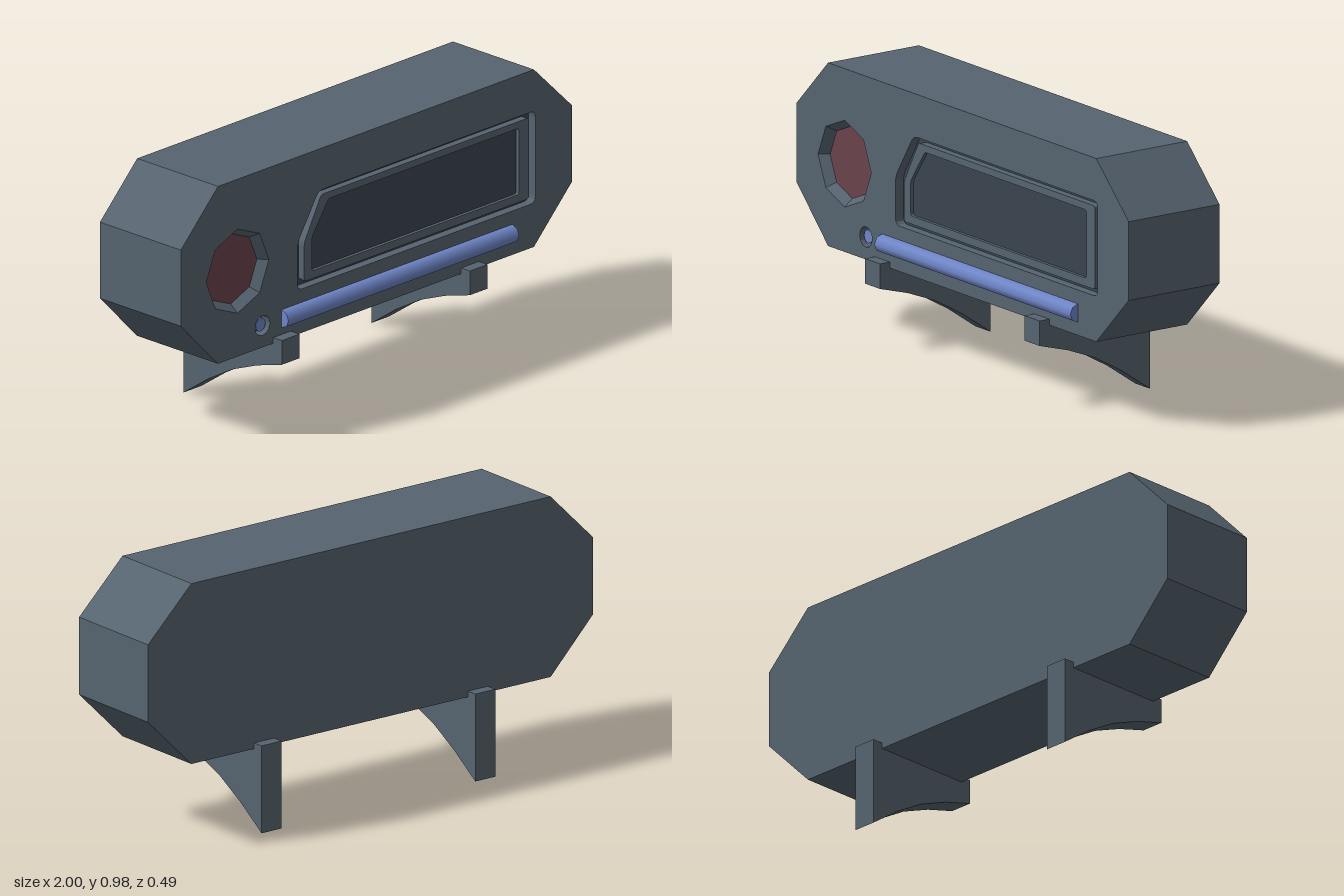
import * as THREE from 'three';

const material = (color, extra = {}) => Object.assign(new THREE.MeshStandardMaterial({ color }), extra);

// Closed polygon with slightly rounded corners
function roundedOutline(points, r, Type = THREE.Shape) {
  const shape = new Type();
  const v = points.map(([x, y]) => new THREE.Vector2(x, y));
  v.forEach((p, i) => {
    const prev = v[(i + v.length - 1) % v.length], next = v[(i + 1) % v.length];
    const a = p.clone().add(prev.clone().sub(p).setLength(r));
    const b = p.clone().add(next.clone().sub(p).setLength(r));
    if (i === 0) shape.moveTo(a.x, a.y); else shape.lineTo(a.x, a.y);
    shape.quadraticCurveTo(p.x, p.y, b.x, b.y);
  });
  shape.closePath();
  return shape;
}

// Rectangle with its upper-left corner cut off
const windowPoints = (l, r, b, t, cutY, cutX) => [[l, b], [r, b], [r, t], [cutX, t], [l, cutY]];

const polygon = (points) => new THREE.Shape(points.map(([x, y]) => new THREE.Vector2(x, y)));

// Regular polygon used for the round openings
function ringPoints(cx, cy, r, n) {
  return Array.from({ length: n }, (_, i) => {
    const a = (i / n) * Math.PI * 2;
    return new THREE.Vector2(cx + r * Math.cos(a), cy + r * Math.sin(a));
  });
}

function extrude(shape, z0, z1) {
  const g = new THREE.ExtrudeGeometry(shape, { depth: z1 - z0, bevelEnabled: false, curveSegments: 3 });
  return g.translate(0, 0, z0);
}

export function createModel() {
  const group = new THREE.Group();
  const slate = material(0x566470, { flatShading: true });
  const slateThin = material(0x566470, { flatShading: true, side: THREE.DoubleSide });
  const dark = material(0x3a454e, { flatShading: true });
  const red = material(0x6a434c, { flatShading: true });
  const blue = material(0x6f86c8);
  const add = (name, geometry, mat) => {
    const mesh = new THREE.Mesh(geometry, mat);
    mesh.name = name;
    group.add(mesh);
    return mesh;
  };

  const FRONT = 0.2, FLOOR = 0.16;
  const lens = { x: -0.71, y: 0.63, r: 0.16 };
  const button = { x: -0.582, y: 0.388, r: 0.038 };
  const body = [[-0.81, 0.305], [0.805, 0.305], [1, 0.5], [1, 0.79], [0.805, 0.98], [-0.81, 0.98], [-1, 0.79], [-1, 0.5]];
  const openingPoints = windowPoints(-0.404, 0.813, 0.472, 0.822, 0.65, -0.295);
  const rimPoints = windowPoints(-0.362, 0.787, 0.492, 0.8, 0.64, -0.275);
  const screenPoints = windowPoints(-0.322, 0.735, 0.522, 0.774, 0.65, -0.237);

  // Chamfered housing and its front plate with openings
  add('housing', extrude(polygon(body), -0.2, FLOOR), slate);
  const plate = polygon(body);
  plate.holes.push(
    roundedOutline(openingPoints, 0.025, THREE.Path),
    new THREE.Path(ringPoints(lens.x, lens.y, lens.r, 8)),
    new THREE.Path(ringPoints(button.x, button.y, button.r, 12)),
  );
  add('frontPlate', extrude(plate, FLOOR, FRONT), slate);

  // Display: dark groove, raised rim and sunken screen
  add('displayGroove', extrude(roundedOutline(openingPoints, 0.025), FLOOR - 0.01, FLOOR + 0.005), dark);
  const rim = roundedOutline(rimPoints, 0.012);
  rim.holes.push(roundedOutline(screenPoints, 0.01, THREE.Path));
  add('displayRim', extrude(rim, FLOOR, 0.193), slate);
  add('screen', extrude(roundedOutline(screenPoints, 0.01), FLOOR, 0.18), dark);

  // Octagonal lens sunk in a sloped collar
  const collar = new THREE.CylinderGeometry(lens.r, 0.133, 0.035, 8, 1, true).rotateX(Math.PI / 2);
  add('lensCollar', collar, slateThin).position.set(lens.x, lens.y, FRONT - 0.0175);
  const lensDisc = new THREE.CylinderGeometry(0.134, 0.134, 0.006, 8).rotateX(Math.PI / 2);
  add('lens', lensDisc, red).position.set(lens.x, lens.y, FRONT - 0.037);

  // Small round button in its well
  const cap = new THREE.CylinderGeometry(0.025, 0.025, 0.03, 12).rotateX(Math.PI / 2);
  add('button', cap, blue).position.set(button.x, button.y, FLOOR + 0.015);

  // Long light bar half sunk into the front
  const bar = new THREE.CylinderGeometry(0.034, 0.034, 1.18, 8).rotateZ(Math.PI / 2);
  add('lightBar', bar, blue).position.set(0.105, 0.387, FRONT);

  // Two bracket feet with a curved underside; profile is drawn as (-z, y)
  const profile = [[-0.243, 0.327], [-0.243, 0.235], [-0.12, 0.2], [0, 0.153], [0.12, 0.085], [0.243, 0], [0.243, 0.327]];
  for (const [name, x] of [['rightFoot', -0.483], ['leftFoot', 0.478]]) {
    const foot = extrude(polygon(profile), -0.045, 0.045).rotateY(Math.PI / 2);
    add(name, foot, slate).position.x = x;
  }

  return group;
}
